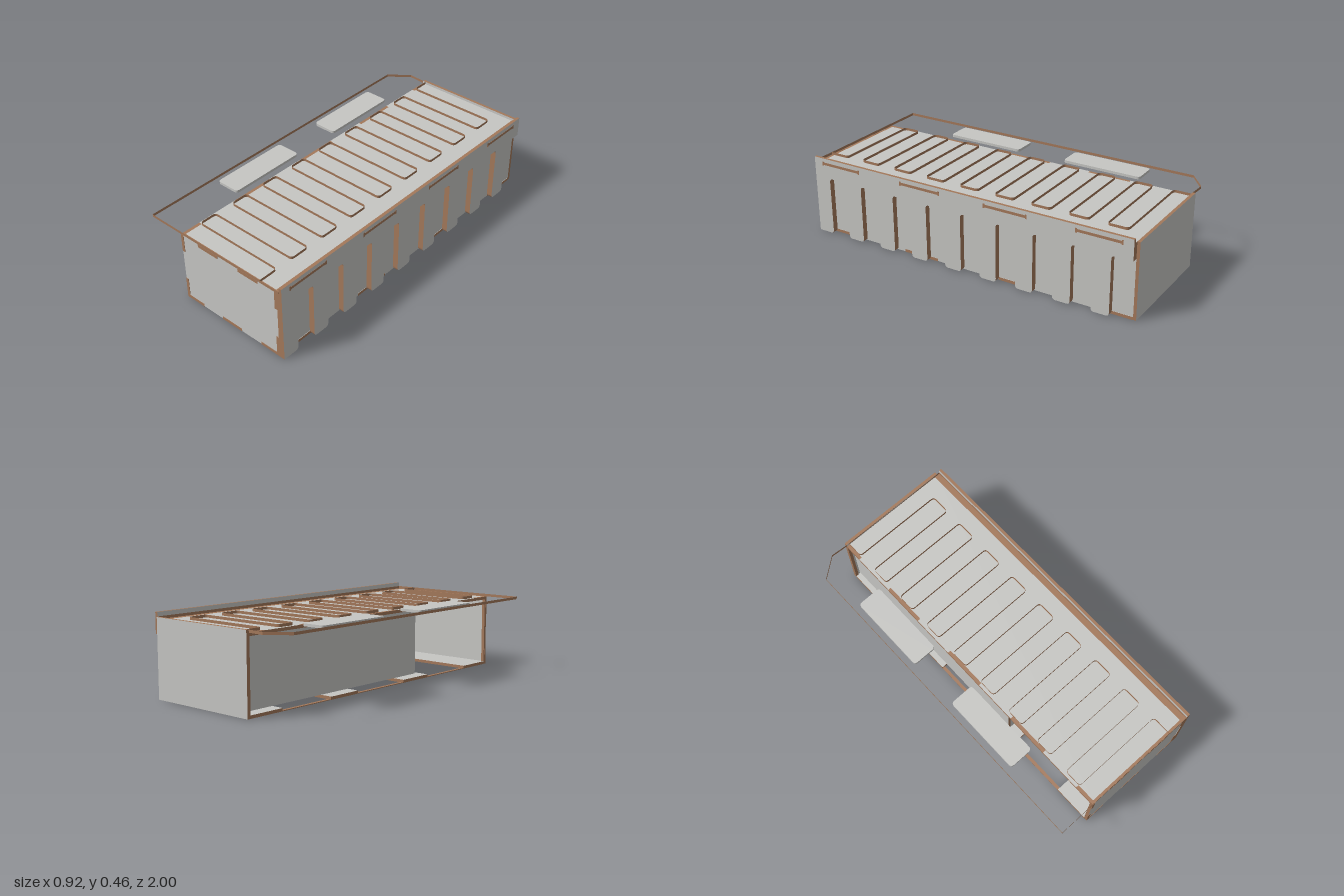
import * as THREE from 'three';

const grey = new THREE.MeshStandardMaterial({ color: 0xc6c6c3 });
grey.name = 'panelGrey';
const brown = new THREE.MeshStandardMaterial({ color: 0xa3785a });
brown.name = 'cutEdgeBrown';
grey.side = brown.side = THREE.DoubleSide;

// Polygon whose points [x, y, radius] may have rounded corners
function roundedShape(points) {
  const shape = new THREE.Shape();
  const n = points.length;
  const toward = (a, b, r) => {
    const d = Math.hypot(b[0] - a[0], b[1] - a[1]);
    return [a[0] + (b[0] - a[0]) * r / d, a[1] + (b[1] - a[1]) * r / d];
  };
  points.forEach((p, i) => {
    const r = p[2] || 0;
    const a = r ? toward(p, points[(i + n - 1) % n], r) : p;
    if (i === 0) shape.moveTo(a[0], a[1]); else shape.lineTo(a[0], a[1]);
    if (r) {
      const b = toward(p, points[(i + 1) % n], r);
      shape.quadraticCurveTo(p[0], p[1], b[0], b[1]);
    }
  });
  shape.closePath();
  return shape;
}

const extrude = (points, depth) => new THREE.ExtrudeGeometry(roundedShape(points), { depth, bevelEnabled: false, curveSegments: 5 });

// Keep only the cut edge of an extruded outline
function edgeOnly(geometry) {
  const { start, count } = geometry.groups[1];
  const g = new THREE.BufferGeometry();
  for (const key of ['position', 'normal']) {
    g.setAttribute(key, new THREE.BufferAttribute(geometry.attributes[key].array.slice(start * 3, (start + count) * 3), 3));
  }
  return g;
}

export function createModel() {
  const model = new THREE.Group();
  const add = (name, geometry, material) => {
    const mesh = new THREE.Mesh(geometry, material);
    mesh.name = name;
    model.add(mesh);
    return mesh;
  };
  // Sheet given by its bounds; faces grey across the thin axis, edges brown
  const sheet = (name, x0, x1, y0, y1, z0, z1, plain) => {
    const s = [x1 - x0, y1 - y0, z1 - z0];
    const thin = s.indexOf(Math.min(...s));
    const mats = [0, 1, 2, 3, 4, 5].map(i => (Math.floor(i / 2) === thin ? grey : brown));
    const mesh = add(name, new THREE.BoxGeometry(...s), plain || mats);
    mesh.position.set((x0 + x1) / 2, (y0 + y1) / 2, (z0 + z1) / 2);
  };

  // End walls, inner side wall and inner top
  sheet('frontWall', -0.244, 0.426, 0.001, 0.418, 0.983, 0.998);
  sheet('backWall', -0.245, 0.427, 0, 0.433, -1, -0.983);
  sheet('innerSideWall', 0.41, 0.427, 0.001, 0.418, -0.983, 0.983);
  sheet('innerTop', -0.227, 0.427, 0.401, 0.418, -0.983, 0.983);

  // Brown tab ends showing on the front wall
  const tab = (x0, x1, y0, y1) => sheet('frontTab', x0, x1, y0, y1, 0.992, 1, brown);
  for (const [a, b] of [[-0.245, -0.12], [0.02, 0.16], [0.3, 0.427]]) tab(a, b, 0, 0.017);
  for (const [a, b] of [[-0.12, 0.02], [0.163, 0.3]]) tab(a, b, 0.4, 0.4185);
  for (const [a, b] of [[0, 0.127], [0.31, 0.418]]) {
    tab(-0.245, -0.227, a, b);
    tab(0.41, 0.427, a, b);
  }

  // Tabs along the open side: brown ones alternate with those of the inner top
  for (let i = 0; i < 5; i++) {
    const z = -1 + i * 0.5;
    const a = Math.max(z - 0.125, -0.983), b = Math.min(z + 0.125, 0.983);
    sheet('openSideTab', -0.245, -0.227, 0.401, 0.418, a, b, brown);
    if (i < 4) sheet('innerTopTab', -0.245, -0.227, 0.401, 0.418, b, z + 0.375);
  }
  // Rim of the open side
  sheet('openSideBottomRim', -0.245, -0.227, 0, 0.004, -0.983, 0.983, brown);
  sheet('openSideBackRim', -0.245, -0.227, 0, 0.418, -0.983, -0.98, brown);
  sheet('openSideFrontRim', -0.245, -0.227, 0, 0.418, 0.98, 0.983, brown);

  // Floor strips
  for (const [a, b] of [[0.77, 0.983], [0.19, 0.41], [-0.41, -0.2], [-0.983, -0.765]]) {
    sheet('floorStrip', -0.245, 0.429, 0, 0.017, a, b);
  }

  // Inner compartment
  sheet('compartmentWall', -0.215, -0.2, 0.03, 0.4, -0.983, 0.33);
  sheet('compartmentDivider', -0.2, 0.41, 0.03, 0.4, 0.315, 0.33);

  // Slotted outer side: two layers, slots open at the bottom
  const pitch = 0.2208;
  const slottedSide = (name, x, top, depth) => {
    const pts = [[0.983, top], [-1, top], [-1, 0]];
    for (let i = 0; i < 9; i++) {
      const a = -0.9 + i * pitch, b = a + 0.118;
      pts.push([a, 0, 0.02], [a, 0.34, 0.02]);
      if (i < 8) pts.push([b, 0.34, 0.02], [b, 0, 0.02]);
      else pts.push([0.983, 0.34]);
    }
    const g = extrude(pts, depth).rotateY(Math.PI / 2).translate(x, 0, 0);
    add(name, g, [grey, brown]);
  };
  slottedSide('slottedSideInner', 0.427, 0.418, 0.0165);
  slottedSide('slottedSideOuter', 0.4435, 0.456, 0.0165);
  for (let i = 0; i < 4; i++) {
    const z = 0.815 - i * 0.537;
    sheet('coverTab', 0.455, 0.461, 0.418, 0.433, z - 0.13, z + 0.13, brown);
    for (const s of [-1, 1]) sheet('coverTabRelief', 0.455, 0.461, 0.413, 0.438, z + s * 0.126 - 0.005, z + s * 0.126 + 0.005, brown);
  }

  // Cover edge: comb with rounded fingers, lying on the inner top
  const comb = [[0.443, 1], [0.443, -0.983], [-0.227, -0.983]];
  for (let i = 0; i < 9; i++) {
    const a = -0.884 + i * pitch, b = a + 0.117;
    comb.push([-0.227, a, 0.02], [0.315, a, 0.02]);
    if (i < 8) comb.push([0.315, b, 0.02], [-0.227, b, 0.02]);
    else comb.push([0.315, 1]);
  }
  const lay = (pts, depth, y) => extrude(pts.map(([x, z, r]) => [x, -z, r]), depth).rotateX(-Math.PI / 2).translate(0, y, 0);
  add('coverCombEdge', edgeOnly(lay(comb, 0.015, 0.418)), brown);

  // Overhanging cover edge, an open run around the free side
  const run = [[-0.232, -0.983], [-0.345, -0.99], [-0.461, -0.9], [-0.461, 0.999], [0.315, 0.999]];
  for (let i = 0; i < run.length - 1; i++) {
    const [x0, z0] = run[i], [x1, z1] = run[i + 1];
    const g = new THREE.PlaneGeometry(Math.hypot(x1 - x0, z1 - z0), 0.015);
    const m = add('overhangEdge', g, brown);
    m.rotation.y = -Math.atan2(z1 - z0, x1 - x0);
    m.position.set((x0 + x1) / 2, 0.4255, (z0 + z1) / 2);
  }

  // Two rounded plates within the overhang
  for (const [a, b] of [[-0.66, -0.19], [0.105, 0.575]]) {
    const pts = [[-0.423, a, 0.02], [-0.28, a, 0.02], [-0.28, b, 0.02], [-0.423, b, 0.02]].reverse();
    add('overhangPlate', lay(pts, 0.015, 0.418), grey);
  }
  return model;
}
